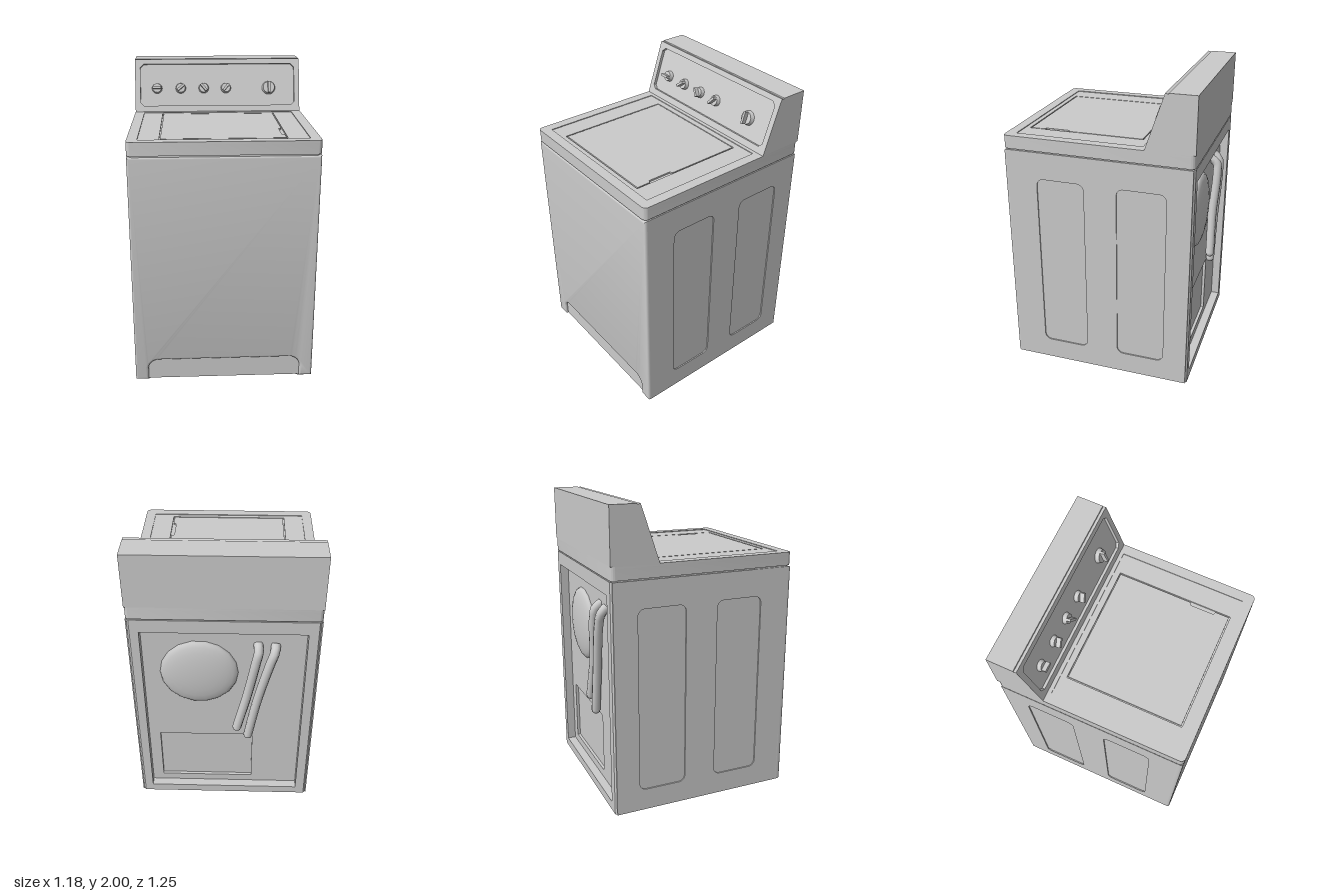
import * as THREE from 'three';
import { toCreasedNormals } from 'three/addons/utils/BufferGeometryUtils.js';

const grey = new THREE.MeshStandardMaterial({ color: 0xcccccc });

function add(parent, name, geometry, x = 0, y = 0, z = 0) {
  const mesh = new THREE.Mesh(geometry, grey);
  mesh.name = name;
  mesh.position.set(x, y, z);
  parent.add(mesh);
  return mesh;
}

// Rectangle with rounded corners, usable as outline or hole
function roundRect(x0, y0, x1, y1, r, Type = THREE.Shape) {
  const p = new Type();
  const q = Math.PI / 2;
  p.absarc(x1 - r, y0 + r, r, -q, 0);
  p.absarc(x1 - r, y1 - r, r, 0, q);
  p.absarc(x0 + r, y1 - r, r, q, 2 * q);
  p.absarc(x0 + r, y0 + r, r, 2 * q, 3 * q);
  p.closePath();
  return p;
}

const polygon = (pts) => new THREE.Shape(pts.map(([x, y]) => new THREE.Vector2(x, y)));

function extrude(shape, depth, bevel = 0) {
  return toCreasedNormals(new THREE.ExtrudeGeometry(shape, {
    depth, curveSegments: 6, bevelEnabled: bevel > 0,
    bevelSize: bevel, bevelThickness: bevel, bevelOffset: -bevel, bevelSegments: 3,
  }), 0.6);
}

// Plan shapes use (x, -z) and are extruded upwards
const plan = (shape, height) => extrude(shape, height).rotateX(-Math.PI / 2);

const BACK = -0.607, FRONT = 0.625, HALF = 0.59;

function addCabinet(root) {
  const cabinet = new THREE.Group();
  cabinet.name = 'cabinet';
  root.add(cabinet);

  // Stacked slices: each has its own set of steps cut into the back edge [x, z]
  const w = HALF - 0.008, f = 0.605;
  const panel = -0.55, hatch = -0.53;
  const notch = [[-0.51, BACK], [-0.51, panel], [0.515, panel], [0.515, BACK]];
  const deepNotch = [[-0.51, BACK], [-0.51, panel], [-0.19, panel], [-0.19, hatch],
    [0.44, hatch], [0.44, panel], [0.515, panel], [0.515, BACK]];
  const slices = [[0.02, 0.08, []], [0.08, 0.135, notch], [0.135, 0.55, deepNotch],
    [0.55, 1.46, notch], [1.46, 1.552, []]];
  for (const [y0, y1, cut] of slices) {
    const c = 0.012;
    const outline = [[w, f], [-w, f], [-w, BACK + c], [-w + c, BACK], ...cut, [w - c, BACK], [w, BACK + c]];
    // Reversed z keeps the plan the right way up
    add(cabinet, 'cabinetShell', plan(polygon(outline.map(([x, z]) => [x, -z])), y1 - y0), 0, y0, 0);
  }

  // Side sheets with two shallow pressed panels each
  const sheet = polygon([[-f, 0.02], [0.597, 0.02], [0.597, 1.552], [-f, 1.552]]);
  for (const [z0, z1] of [[0.095, 0.41], [-0.44, -0.12]]) {
    sheet.holes.push(roundRect(-z1, 0.165, -z0, 1.375, 0.045, THREE.Path));
  }
  for (const x of [w, -HALF]) {
    add(cabinet, 'sideSheet', extrude(sheet, 0.008).rotateY(Math.PI / 2), x, 0, 0);
  }

  // Front sheet with softened edges and a toe-kick arch
  const front = new THREE.Shape();
  const a = 0.505, top = 0.165, r = 0.07;
  front.moveTo(-HALF, 0.02);
  front.lineTo(-a, 0.02);
  front.lineTo(-a, top - r);
  front.absarc(-a + r, top - r, r, Math.PI, Math.PI / 2, true);
  front.absarc(a - r, top - r, r, Math.PI / 2, 0, true);
  front.lineTo(a, 0.02);
  front.lineTo(HALF, 0.02);
  front.lineTo(HALF, 1.552);
  front.lineTo(-HALF, 1.552);
  front.closePath();
  add(cabinet, 'frontSheet', extrude(front, 0.02, 0.015), 0, 0, FRONT - 0.035);

  for (const x of [-0.52, 0.515]) {
    for (const z of [0.55, -0.54]) {
      add(cabinet, 'foot', new THREE.CylinderGeometry(0.04, 0.036, 0.03, 14), x, 0.015, z);
    }
  }
}

function addTop(root) {
  const top = new THREE.Group();
  top.name = 'top';
  root.add(top);
  const slab = (inset = 0) => roundRect(-HALF + inset, -FRONT + inset, HALF - inset, -BACK - inset, 0.03);
  add(top, 'topSeam', plan(slab(0.008), 0.012), 0, 1.55, 0);
  add(top, 'topSlab', plan(slab(), 0.07), 0, 1.56, 0);

  // Rim around the shallow deck
  const rim = slab();
  rim.holes.push(roundRect(-0.525, -0.56, 0.525, 0.27, 0.004, THREE.Path));
  add(top, 'topRim', plan(rim, 0.015), 0, 1.63, 0);

  // Deck with an opening, and the lid with a finger notch inside it
  const deck = roundRect(-0.525, -0.56, 0.525, 0.27, 0.004);
  deck.holes.push(roundRect(-0.395, -0.53, 0.392, 0.232, 0.004, THREE.Path));
  add(top, 'deck', plan(deck, 0.01), 0, 1.63, 0);
  const lid = polygon([[-0.387, -0.522], [0.384, -0.522], [0.384, -0.432], [0.366, -0.424],
    [0.366, -0.268], [0.384, -0.26], [0.384, 0.226], [-0.387, 0.226]]);
  add(top, 'lid', plan(lid, 0.01), 0, 1.63, 0);
}

function addConsole(root) {
  const group = new THREE.Group();
  group.name = 'console';
  root.add(group);
  const y0 = 1.645, rise = 0.355, run = 0.12;
  const tilt = Math.atan2(run, rise), length = Math.hypot(run, rise);
  const depth = 0.02, zf = -0.295 - depth / Math.cos(tilt);

  // Wedge housing, profile in (-z, y)
  const profile = polygon([[-zf, y0], [-BACK, y0], [-BACK, 2], [-zf + run, 2]]);
  add(group, 'consoleHousing', extrude(profile, 2 * HALF).rotateY(Math.PI / 2), -HALF, 0, 0);

  // Sloping fascia frame around the sunken control panel
  const fascia = new THREE.Group();
  fascia.name = 'fascia';
  fascia.position.set(0, y0, -0.295);
  fascia.rotation.x = -tilt;
  group.add(fascia);
  const frame = polygon([[-HALF, 0], [HALF, 0], [HALF, length], [-HALF, length]]);
  const c = 0.025, hx = 0.553, lo = 0.042, hi = 0.34;
  frame.holes.push(polygon([[-hx + c, lo], [hx - c, lo], [hx, lo + c], [hx, hi - c],
    [hx - c, hi], [-hx + c, hi], [-hx, hi - c], [-hx, lo + c]]));
  add(fascia, 'fasciaFrame', extrude(frame, depth), 0, 0, -depth);

  // Knobs: x, radius, grip angle in degrees
  const knobs = [[-0.435, 0.037, 0], [-0.265, 0.037, 40], [-0.1, 0.037, -50],
    [0.06, 0.037, 50], [0.37, 0.048, 90]];
  for (const [x, r, angle] of knobs) {
    const knob = new THREE.Group();
    knob.name = 'knob';
    knob.position.set(x, 0.169, -depth);
    knob.rotation.z = THREE.MathUtils.degToRad(angle);
    fascia.add(knob);
    const base = toCreasedNormals(new THREE.CylinderGeometry(r * 0.85, r, 0.026, 20), 0.6);
    add(knob, 'knobBase', base.rotateX(Math.PI / 2), 0, 0, 0.013);
    add(knob, 'knobGrip', new THREE.BoxGeometry(r * 1.65, 0.016, 0.034), 0, 0, 0.039);
  }
}

function addRearParts(root) {
  // Shallow domed drive cover
  const dome = add(root, 'rearDome', new THREE.SphereGeometry(0.25, 18, 12).rotateX(Math.PI / 2), 0.16, 1.11, -0.55);
  dome.scale.z = 0.2;

  // Two hoses leaving the rear panel through an elbow and hanging down
  const hoses = [
    [[-0.21, 1.34, -0.54], [-0.215, 1.31, -0.585], [-0.2, 1.23, -0.595], [-0.15, 0.95, -0.585], [-0.085, 0.67, -0.595]],
    [[-0.32, 1.34, -0.54], [-0.315, 1.3, -0.58], [-0.29, 1.22, -0.59], [-0.215, 0.9, -0.585], [-0.16, 0.59, -0.585]],
  ];
  for (const pts of hoses) {
    const path = new THREE.CatmullRomCurve3(pts.map((p) => new THREE.Vector3(...p)));
    add(root, 'hose', new THREE.TubeGeometry(path, 24, 0.03, 10));
    const end = path.getPoint(1);
    add(root, 'hoseEnd', new THREE.SphereGeometry(0.03, 10, 6), end.x, end.y, end.z);
  }
}

export function createModel() {
  const root = new THREE.Group();
  root.name = 'washingMachine';
  addCabinet(root);
  addTop(root);
  addConsole(root);
  addRearParts(root);
  return root;
}
